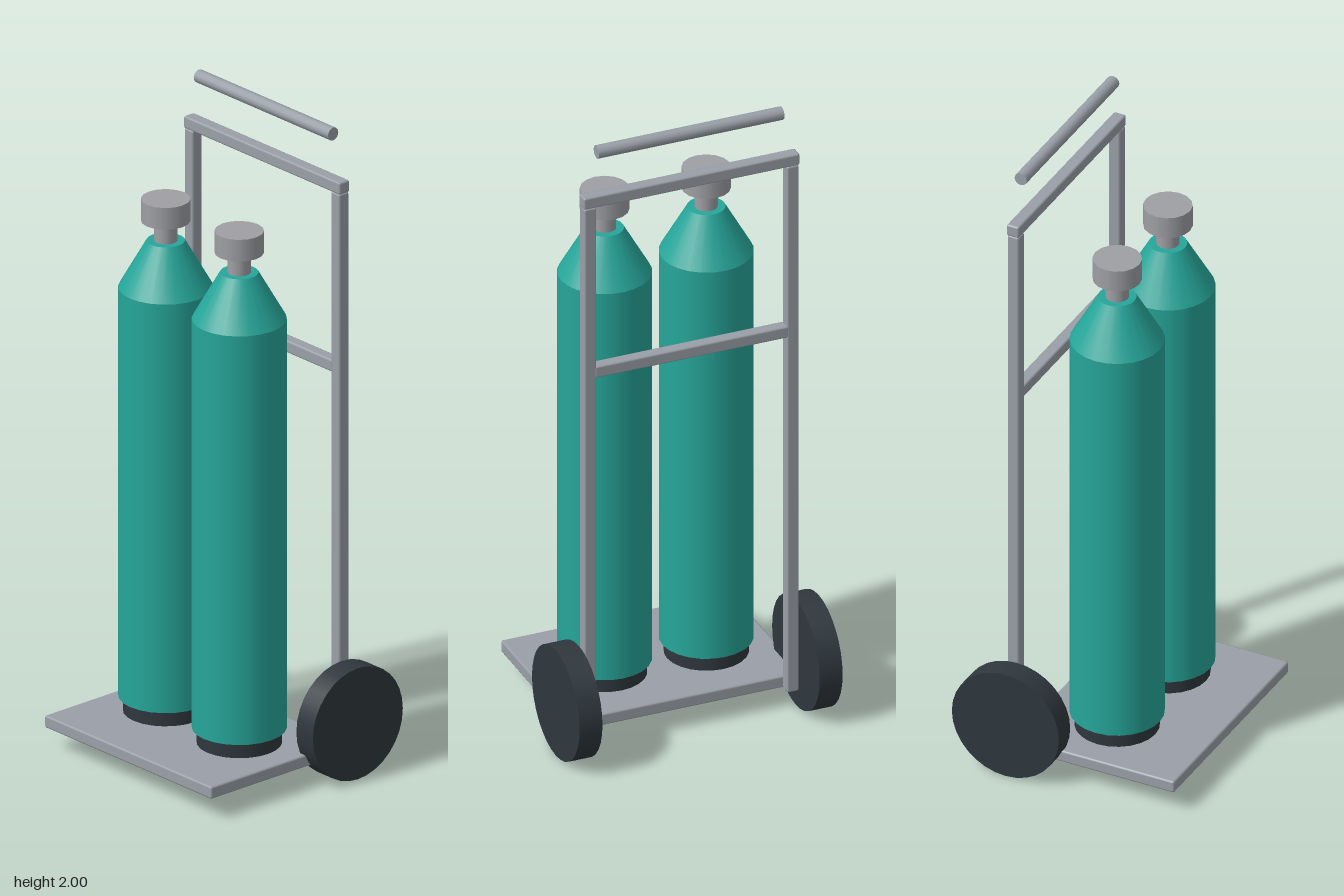
import * as THREE from 'three';
import { RoundedBoxGeometry } from 'three/addons/geometries/RoundedBoxGeometry.js';

export function createModel() {
  const model = new THREE.Group();
  model.name = 'cylinderCart';

  const material = (name, color) => {
    const m = new THREE.MeshStandardMaterial({ color });
    m.name = name;
    return m;
  };
  const frameGrey = material('frameGrey', 0x9aa0a8);
  const valveGrey = material('valveGrey', 0x9e9fa4);
  const teal = material('teal', 0x26a69a);
  const rubber = material('rubber', 0x2f373d);

  const add = (parent, name, geometry, mat, x, y, z) => {
    const mesh = new THREE.Mesh(geometry, mat);
    mesh.name = name;
    mesh.position.set(x, y, z);
    parent.add(mesh);
    return mesh;
  };
  // Box with slightly eased edges
  const bar = (w, h, d) => new RoundedBoxGeometry(w, h, d, 1, 0.006);

  // Frame
  const backZ = -0.19;
  add(model, 'basePlate', bar(0.726, 0.038, 0.52), frameGrey, 0, 0.084, 0.087);
  add(model, 'topBar', bar(0.68, 0.038, 0.04), frameGrey, 0, 1.826, backZ);
  add(model, 'middleBar', bar(0.61, 0.038, 0.038), frameGrey, 0, 1.261, backZ);
  add(model, 'handle', new THREE.CylinderGeometry(0.02, 0.02, 0.584, 12), frameGrey,
    0, 1.98, -0.188).rotation.z = Math.PI / 2;

  for (const [side, s] of [['left', 1], ['right', -1]]) {
    add(model, side + 'Upright', bar(0.038, 1.743, 0.038), frameGrey, s * 0.319, 0.9365, backZ);

    // Wheel
    add(model, side + 'Wheel', new THREE.CylinderGeometry(0.174, 0.174, 0.072, 32), rubber,
      s * 0.378, 0.174, -0.175).rotation.z = Math.PI / 2;

    // Gas cylinder with rubber foot, tapered shoulder and valve
    const tank = new THREE.Group();
    tank.name = side + 'Cylinder';
    tank.position.set(s * 0.16, 0, 0.058);
    model.add(tank);
    const ring = (name, top, bottom, y0, y1, segments, mat) => add(tank, name,
      new THREE.CylinderGeometry(top, bottom, y1 - y0, segments), mat, 0, (y0 + y1) / 2, 0);
    ring('foot', 0.124, 0.124, 0.103, 0.15, 24, rubber);
    ring('body', 0.138, 0.138, 0.15, 1.43, 24, teal);
    ring('shoulder', 0.056, 0.138, 1.43, 1.575, 24, teal);
    ring('valveStem', 0.034, 0.034, 1.575, 1.637, 14, valveGrey);
    ring('valveKnob', 0.072, 0.072, 1.637, 1.705, 16, valveGrey);
  }
  return model;
}
